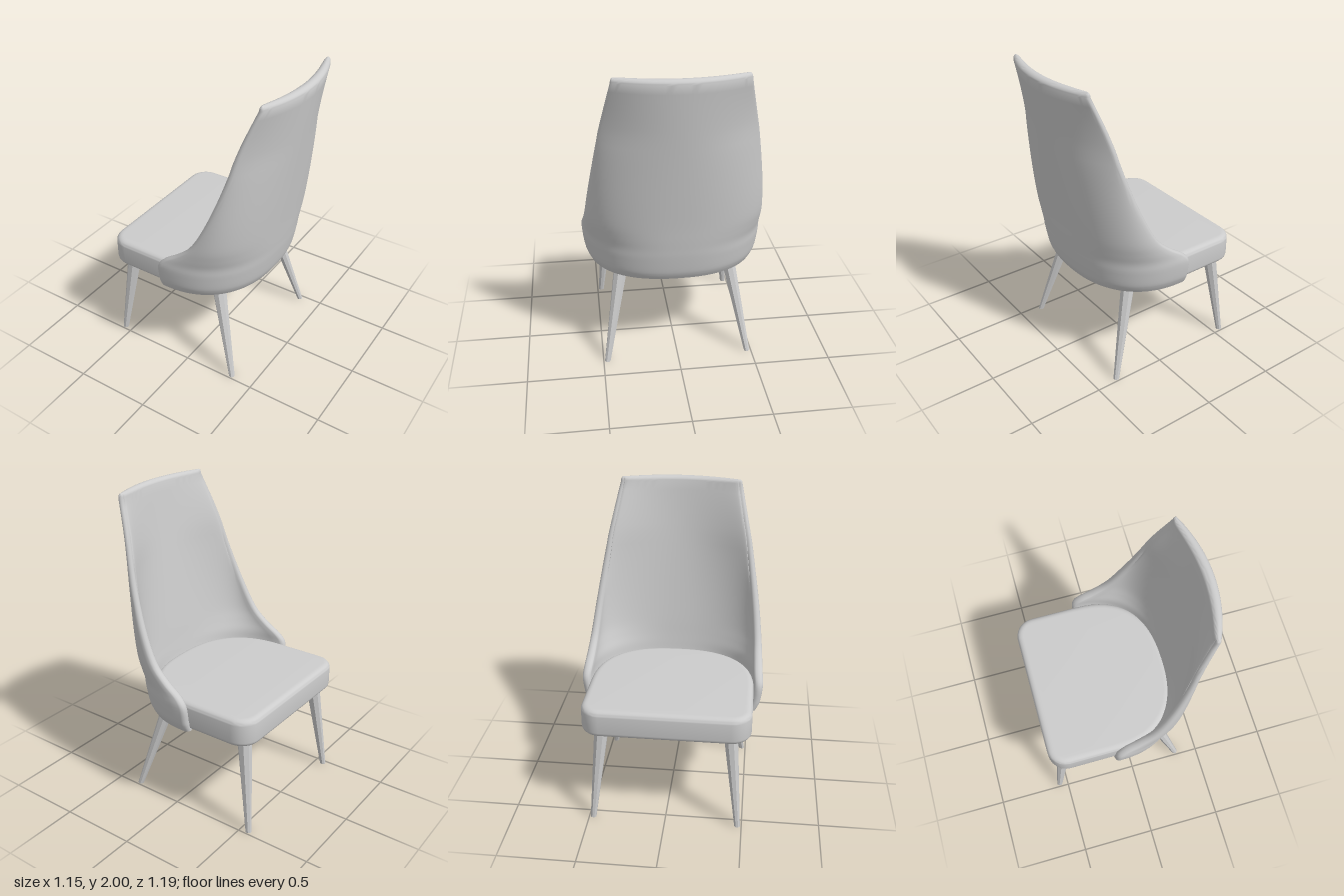
import * as THREE from 'three';
import { toCreasedNormals } from 'three/addons/utils/BufferGeometryUtils.js';

const lerp = THREE.MathUtils.lerp;

// Backrest profile: height, front edge x, back x, half width
const ROWS = [
  [0.625, -0.15, 0.372, 0.556], [0.66, -0.15, 0.39, 0.573], [0.70, -0.15, 0.402, 0.585],
  [0.80, -0.145, 0.42, 0.597], [0.86, -0.10, 0.428, 0.592], [0.93, 0.0, 0.437, 0.584],
  [1.03, 0.10, 0.449, 0.573], [1.23, 0.20, 0.476, 0.547], [1.50, 0.30, 0.512, 0.50],
  [1.75, 0.375, 0.545, 0.445], [1.97, 0.455, 0.573, 0.393],
];
const curveOf = (fn) => new THREE.CatmullRomCurve3(ROWS.map(fn), false, 'catmullrom', 0.5);
const frontEdge = curveOf(([y, xf, , w]) => new THREE.Vector3(xf, y, w));
const backLine = curveOf(([y, , xb]) => new THREE.Vector3(xb, y, 0));

// One horizontal U-shaped section; squeeze 0..1 closes its thickness
function shellRing(t, y, squeeze) {
  const f = frontEdge.getPoint(t), xb = backLine.getPoint(t).x, N = 36, END = 6;
  const s = THREE.MathUtils.clamp((f.y - 0.8) / 1.2, 0, 1), k = Math.min(1, s / 0.7);
  const p = lerp(2.35, 2, k), q = lerp(2.35, 1.05, k);
  const thEnd = lerp(0.058, 0.032, s), thMid = lerp(0.085, 0.068, s);
  const xf = f.x + thEnd * 0.5 + 0.012 * s, w = f.z;
  const path = [];
  for (let i = 0; i <= N; i++) {
    const a = (i / N - 0.5) * Math.PI, sn = Math.sin(a), cs = Math.max(0, Math.cos(a));
    path.push(new THREE.Vector2(xf + (xb - xf) * cs ** (2 / q), Math.sign(sn) * w * Math.abs(sn) ** (2 / p)));
  }
  const outer = [], inner = [], tangents = [];
  path.forEach((pt, i) => {
    const tan = path[Math.min(N, i + 1)].clone().sub(path[Math.max(0, i - 1)]).normalize();
    const n = new THREE.Vector2(tan.y, -tan.x);
    const th = lerp(thEnd, thMid, Math.cos((i / N - 0.5) * Math.PI));
    outer.push(pt.clone().addScaledVector(n, -squeeze * th / 2));
    inner.push(pt.clone().addScaledVector(n, -th + squeeze * th / 2));
    tangents.push(tan);
  });
  // Rounded end between the two surfaces
  const cap = (from, to, dir) => {
    const c = from.clone().add(to).multiplyScalar(0.5), r = from.clone().sub(c), out = [];
    for (let j = 1; j < END; j++) {
      const a = j / END * Math.PI;
      out.push(c.clone().addScaledVector(r, Math.cos(a)).addScaledVector(dir, r.length() * Math.sin(a)));
    }
    return out;
  };
  return [
    ...outer, ...cap(outer[N], inner[N], tangents[N]),
    ...inner.slice().reverse(), ...cap(inner[0], outer[0], tangents[0].clone().negate()),
  ].map((v) => new THREE.Vector3(v.x, y, v.y));
}

function loft(rings) {
  const n = rings[0].length, idx = [];
  for (let r = 0; r < rings.length - 1; r++) {
    for (let i = 0; i < n; i++) {
      const a = r * n + i, b = r * n + (i + 1) % n;
      idx.push(a, a + n, b, b, a + n, b + n);
    }
  }
  const geo = new THREE.BufferGeometry().setFromPoints(rings.flat());
  geo.setIndex(idx);
  return geo;
}

function backrestGeometry() {
  const rings = [shellRing(0, 0.625, 1)];
  for (let i = 0; i <= 40; i++) rings.push(shellRing(i / 40, frontEdge.getPoint(i / 40).y, 0));
  // Rounded top rim
  for (let k = 1; k <= 6; k++) {
    const a = k / 6 * Math.PI / 2;
    rings.push(shellRing(1, 1.97 + 0.03 * Math.sin(a), 1 - Math.cos(a)));
  }
  return toCreasedNormals(loft(rings), 0.9);
}

// Cushion: rounded front corners, curved back, soft edges
function seatGeometry() {
  const B = 0.042, T = 0.035, w = 0.537 - B, xFront = -0.58 + B, xBack = 0.352 - B, x0 = -0.15, pts = [];
  for (let i = 0; i <= 32; i++) {
    const a = (i / 32 - 0.5) * Math.PI, sn = Math.sin(a), cs = Math.max(0, Math.cos(a));
    pts.push(new THREE.Vector2(x0 + (xBack - x0) * cs ** (2 / 2.5), Math.sign(sn) * w * Math.abs(sn) ** (2 / 2.5)));
  }
  const R = 0.085;
  for (const side of [1, -1]) {
    for (let k = 0; k <= 6; k++) {
      const a = (side > 0 ? k : 6 - k) / 6 * Math.PI / 2;
      pts.push(new THREE.Vector2(xFront + R - R * Math.sin(a), side * (w - R + R * Math.cos(a))));
    }
  }
  const geo = new THREE.ExtrudeGeometry(new THREE.Shape(pts), {
    depth: 0.186 - 2 * T, bevelThickness: T, bevelSize: B, bevelSegments: 6, steps: 1,
  });
  geo.rotateX(Math.PI / 2);
  geo.translate(0, 0.816 - T, 0);
  return toCreasedNormals(geo, 0.7);
}

// Tapered eight-sided leg, sheared from foot to top
function legGeometry(top, foot) {
  const H = 0.64;
  const geo = new THREE.CylinderGeometry(0.047, 0.0195, H, 8).toNonIndexed();
  geo.rotateY(Math.PI / 8);
  geo.translate(0, H / 2, 0);
  const pos = geo.attributes.position;
  for (let i = 0; i < pos.count; i++) {
    const t = pos.getY(i) / H;
    pos.setX(i, pos.getX(i) + lerp(foot[0], top[0], t));
    pos.setZ(i, pos.getZ(i) + lerp(foot[1], top[1], t));
  }
  geo.computeVertexNormals();
  return geo;
}

export function createModel() {
  const group = new THREE.Group();
  const grey = new THREE.MeshStandardMaterial({ color: 0xcccccc });
  grey.name = 'light grey';
  const add = (name, geo) => {
    const mesh = new THREE.Mesh(geo, grey);
    mesh.name = name;
    group.add(mesh);
    return mesh;
  };

  add('seat', seatGeometry());
  add('backrest', backrestGeometry());

  for (const [side, label] of [[1, 'Left'], [-1, 'Right']]) {
    add('frontLeg' + label, legGeometry([-0.475, side * 0.41], [-0.558, side * 0.473]));
    add('backLeg' + label, legGeometry([0.16, side * 0.353], [0.342, side * 0.473]));

    // Diagonal brace from front leg to the opposite back leg
    const dx = 0.635, dz = -side * 0.763;
    const brace = add('brace' + label, new THREE.BoxGeometry(Math.hypot(dx, dz), 0.042, 0.03));
    brace.position.set(-0.1575, 0.616, side * 0.0285);
    brace.rotation.y = -Math.atan2(dz, dx);
  }
  return group;
}
